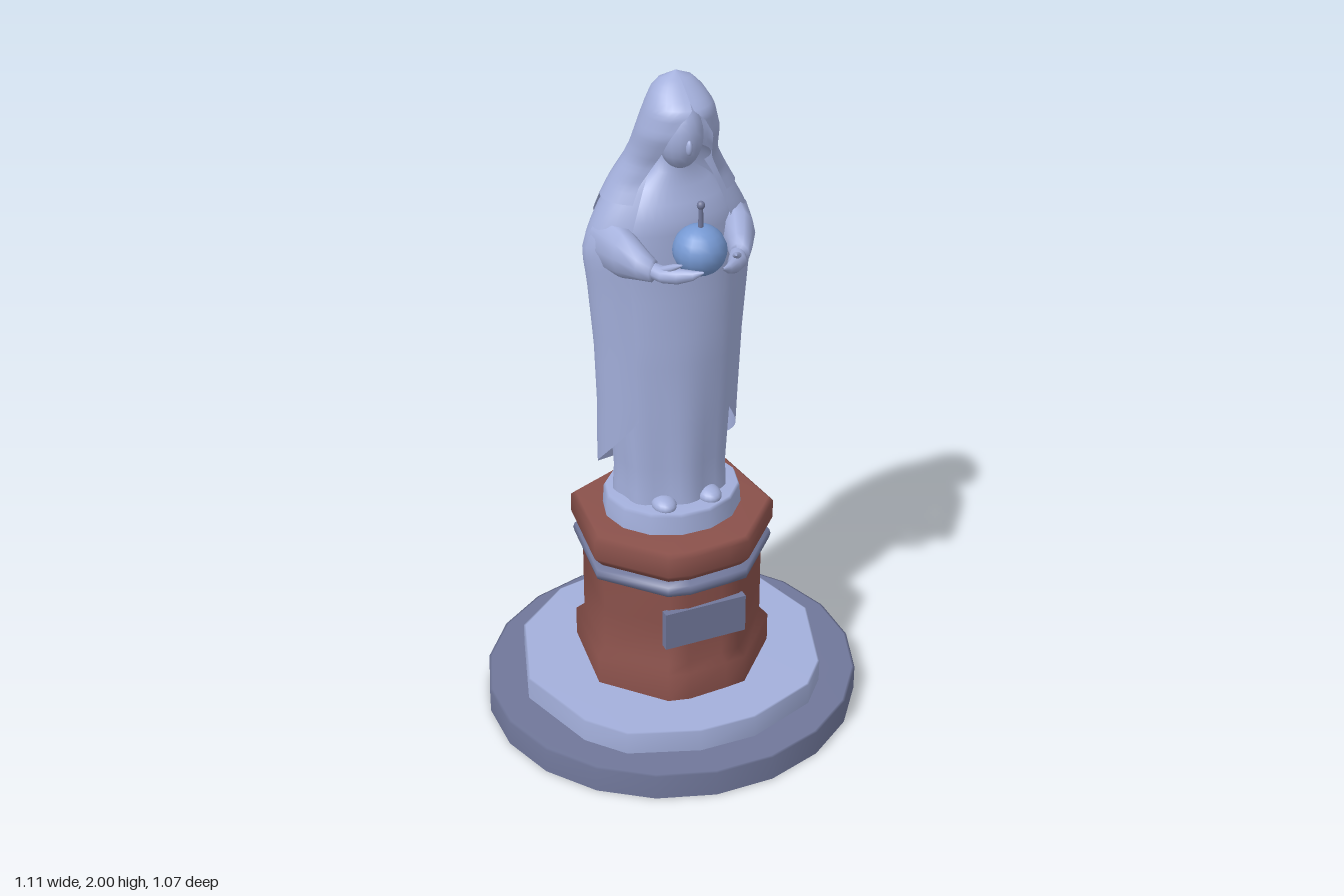
import * as THREE from 'three';

const mat = (name, color) => {
  const m = new THREE.MeshStandardMaterial({ color, side: THREE.DoubleSide });
  m.name = name;
  return m;
};

// Smooth indexed surface from a rule fn(u, v); closed wraps around u
function surface(nu, nv, fn, closed = false) {
  const pos = [], idx = [], cols = closed ? nu : nu + 1;
  for (let j = 0; j <= nv; j++)
    for (let i = 0; i < cols; i++) pos.push(...fn(i / nu, j / nv, i, j));
  for (let j = 0; j < nv; j++)
    for (let i = 0; i < nu; i++) {
      const a = j * cols + i, b = j * cols + (i + 1) % cols, c = a + cols, d = b + cols;
      idx.push(a, c, b, b, c, d);
    }
  const g = new THREE.BufferGeometry();
  g.setAttribute('position', new THREE.Float32BufferAttribute(pos, 3));
  g.setIndex(idx);
  g.computeVertexNormals();
  return g;
}

// Interpolate the rows [y, ...values] at height y
function sample(rows, y) {
  if (y <= rows[0][0]) return rows[0].slice(1);
  for (let k = 1; k < rows.length; k++)
    if (y <= rows[k][0]) {
      const t = (y - rows[k - 1][0]) / (rows[k][0] - rows[k - 1][0]);
      return rows[k].slice(1).map((v, i) => THREE.MathUtils.lerp(rows[k - 1][i + 1], v, t));
    }
  return rows[rows.length - 1].slice(1);
}

// Plan outline [x, z] swept up a profile of [y, scale]
const prism = (plan, profile) => surface(plan.length, profile.length - 1, (u, v, i, j) =>
  [plan[i][0] * profile[j][1], profile[j][0], plan[i][1] * profile[j][1]], true);

const ring = (n, rx, rz, cz = 0, turn = 0) => Array.from({ length: n }, (_, i) => {
  const a = (i + turn) / n * Math.PI * 2;
  return [rx * Math.sin(a), cz + rz * Math.cos(a)];
});

// Draped cloth open at the front: rows are [y, half width, front z, back z]
const drape = (rows, top, hem, gap) => surface(32, 24, (u, v) => {
  const s = 2 * u - 1;
  const y = THREE.MathUtils.lerp(hem(Math.abs(s)), top, v);
  const [hx, zf, zb] = sample(rows, y);
  const a = s * (Math.PI - gap(y));
  return [hx * Math.sin(a), y, (zf + zb) / 2 - (zf - zb) / 2 * Math.cos(a)];
});

// Limb through sections [x, y, z, vertical radius, sideways radius]
const limb = (secs, side) => surface(10, secs.length - 1, (u, v, i, j) => {
  const [x, y, z, ry, rw] = secs[j];
  const p = secs[Math.max(0, j - 1)], q = secs[Math.min(secs.length - 1, j + 1)];
  const dx = q[0] - p[0], dz = q[2] - p[2], l = Math.hypot(dx, dz);
  const a = u * Math.PI * 2, w = rw * Math.cos(a);
  return [side * (x + w * dz / l), y + ry * Math.sin(a), z - w * dx / l];
}, true);

export function createModel() {
  const model = new THREE.Group();
  const pale = mat('pale stone', 0xa3afdb);
  const grey = mat('grey stone', 0x70779a);
  const red = mat('red stone', 0x8a514b);
  const blue = mat('globe blue', 0x7699d3);
  const add = (name, geo, m, parent = model) => {
    const mesh = new THREE.Mesh(geo, m);
    mesh.name = name;
    parent.add(mesh);
    return mesh;
  };
  const ball = (name, m, p, r, parent) => {
    const b = add(name, new THREE.SphereGeometry(1, 16, 12), m, parent);
    b.position.set(...p);
    b.scale.set(...r);
    return b;
  };

  // Round base: two open shells
  add('lowerStep', prism(ring(20, 0.56, 0.54, 0, 0.5),
    [[0, 1], [0.078, 1], [0.08, 0.985], [0.08, 0.76]]), grey);
  const stepPlan = [[-0.02, -0.44], [0.185, -0.405], [0.38, -0.26], [0.455, 0], [0.37, 0.26], [0.29, 0.35],
    [0.08, 0.427], [-0.09, 0.425], [-0.29, 0.355], [-0.38, 0.25], [-0.46, 0], [-0.38, -0.26], [-0.21, -0.4]];
  add('upperStep', prism(stepPlan, [[0.08, 1], [0.148, 1], [0.15, 0.985], [0.15, 0.53]]), pale);

  // Worn patch on the side of the upper step
  const patch = new THREE.Shape([[-0.1, 0], [0.1, 0], [0.05, 0.03], [0.01, 0.065], [-0.04, 0.035]]
    .map((p) => new THREE.Vector2(...p)));
  const worn = add('stepPatch', new THREE.ShapeGeometry(patch), grey);
  worn.position.set(0.424, 0.08, -0.122);
  worn.rotation.y = Math.atan2(0.26, 0.075);

  // Pedestal
  const plan = [[0, -0.275], [0.25, -0.165], [0.28, 0.1], [0.125, 0.268], [0.06, 0.275],
    [-0.06, 0.283], [-0.125, 0.268], [-0.28, 0.1], [-0.25, -0.165]];
  add('pedestalShaft', prism(plan, [[0.15, 0.975], [0.24, 0.975], [0.26, 0.89], [0.4, 0.89], [0.56, 0.89]]), red);
  add('pedestalBand', prism(plan, [[0.51, 0.88], [0.518, 0.97], [0.533, 0.985], [0.548, 0.97], [0.556, 0.88]]), grey);
  add('pedestalCap', prism(plan,
    [[0.556, 0.9], [0.572, 0.95], [0.59, 1], [0.648, 1], [0.66, 0.95], [0.66, 0.5], [0.66, 0.01]]), red);
  const plaque = add('plaque', new THREE.BoxGeometry(0.25, 0.12, 0.025), grey);
  plaque.position.set(-0.003, 0.395, 0.247);
  add('plinth', prism(ring(14, 0.2, 0.18, 0.002, 0.5),
    [[0.66, 1.02], [0.715, 1], [0.725, 0.97], [0.725, 0.5], [0.725, 0.01]]), pale);

  // Figure
  const figure = new THREE.Group();
  figure.name = 'figure';
  model.add(figure);

  const robeRows = [[0.72, 0.165, 0.125, -0.14], [0.8, 0.163, 0.12, -0.13], [1.0, 0.178, 0.118, -0.13],
    [1.2, 0.195, 0.113, -0.13], [1.4, 0.21, 0.102, -0.13], [1.5, 0.217, 0.1, -0.13], [1.6, 0.185, 0.098, -0.13],
    [1.66, 0.14, 0.07, -0.1], [1.72, 0.06, 0.05, -0.06], [1.8, 0.04, 0.05, -0.04]];
  add('robe', surface(40, 27, (u, v) => {
    const y = 0.72 + v * 1.08, a = u * Math.PI * 2;
    const [hx, zf, zb] = sample(robeRows, y);
    const fold = 1 + 0.045 * Math.cos(a * 7) * Math.max(0, 1 - (y - 0.72) / 0.6);
    return [hx * fold * Math.sin(a), y, (zf + zb) / 2 + (zf - zb) / 2 * fold * Math.cos(a)];
  }, true), pale, figure);

  const cloakRows = [[0.72, 0.2, 0.11, -0.2], [0.86, 0.206, 0.115, -0.187], [1.0, 0.208, 0.12, -0.172],
    [1.2, 0.217, 0.117, -0.16], [1.4, 0.235, 0.108, -0.15], [1.48, 0.246, 0.105, -0.15], [1.52, 0.246, 0.105, -0.148],
    [1.6, 0.213, 0.1, -0.143], [1.7, 0.155, 0.075, -0.122], [1.74, 0.12, 0.06, -0.1]];
  add('cloak', drape(cloakRows, 1.74, (s) => 0.73 + 0.27 * s ** 2.2, () => 0.7), pale, figure);

  // Hood with a rounded veil falling down the back
  const hoodRows = [[1.38, 0.238, 0.11, -0.157], [1.5, 0.25, 0.108, -0.158], [1.6, 0.22, 0.102, -0.152],
    [1.7, 0.164, 0.085, -0.132], [1.76, 0.13, 0.1, -0.108], [1.8, 0.119, 0.125, -0.09], [1.85, 0.112, 0.15, -0.07],
    [1.92, 0.091, 0.15, -0.047], [1.96, 0.068, 0.1, -0.03], [1.985, 0.042, 0.065, -0.008], [2.0, 0.001, 0.03, 0.028]];
  const gapRows = [[1.6, 0.8], [1.7, 0.78], [1.85, 0.6], [1.9, 0.35], [1.93, 0]];
  add('hood', drape(hoodRows, 2.0, (s) => 1.4 + 0.25 * Math.min(1, s * 2) ** 2,
    (y) => sample(gapRows, y)[0]), pale, figure);

  // Face and nose
  ball('face', pale, [0, 1.83, 0.058], [0.062, 0.092, 0.062], figure);
  ball('nose', pale, [0, 1.815, 0.117], [0.009, 0.022, 0.012], figure);

  // Arms, hands and feet
  for (const side of [1, -1]) {
    add('sleeve', limb([[0.18, 1.52, -0.02, 0.085, 0.06], [0.165, 1.522, 0.08, 0.068, 0.045],
      [0.14, 1.512, 0.14, 0.042, 0.034], [0.125, 1.508, 0.17, 0.032, 0.028], [0.12, 1.508, 0.165, 0.01, 0.01]], side),
      pale, figure);
    add('hand', limb([[0.135, 1.505, 0.14, 0.022, 0.02], [0.105, 1.505, 0.2, 0.022, 0.026],
      [0.08, 1.512, 0.235, 0.022, 0.018], [0.05, 1.522, 0.264, 0.014, 0.01], [0.028, 1.532, 0.278, 0.003, 0.003]], side),
      pale, figure);
    add('thumb', limb([[0.11, 1.515, 0.19, 0.012, 0.014], [0.09, 1.535, 0.225, 0.011, 0.01],
      [0.078, 1.55, 0.25, 0.003, 0.003]], side), pale, figure);
    ball('foot', pale, [side * 0.07, 0.73, 0.11], [0.035, 0.025, 0.045], figure);
  }

  // Globe with its small finial
  ball('globe', blue, [0, 1.555, 0.19], [0.073, 0.07, 0.075], figure);
  const stem = add('finialStem', new THREE.CylinderGeometry(0.006, 0.008, 0.08, 8), grey, figure);
  stem.position.set(0, 1.65, 0.195);
  ball('finialTip', grey, [0, 1.685, 0.195], [0.011, 0.012, 0.011], figure);

  return model;
}
